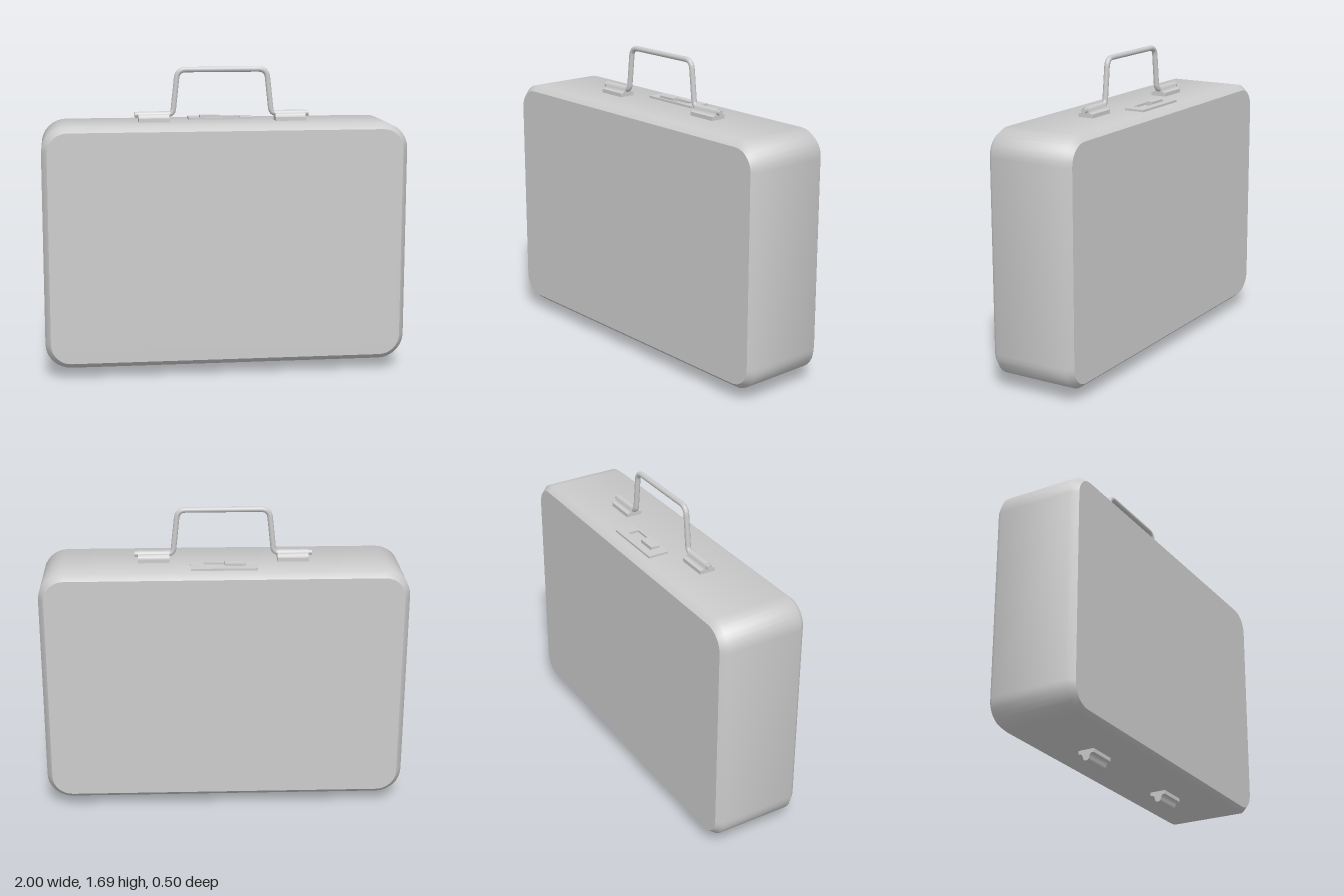
import * as THREE from 'three';
import { toCreasedNormals } from 'three/addons/utils/BufferGeometryUtils.js';

const grey = new THREE.MeshStandardMaterial({ color: 0xcccccc });

function addPart(parent, name, geometry, x = 0, y = 0, z = 0) {
  const mesh = new THREE.Mesh(geometry, grey);
  mesh.name = name;
  mesh.position.set(x, y, z);
  parent.add(mesh);
  return mesh;
}

function rectPath(path, x0, y0, x1, y1) {
  path.moveTo(x0, y0).lineTo(x1, y0).lineTo(x1, y1).lineTo(x0, y1).closePath();
  return path;
}

// Rounded case shell with a narrow bevel around the front and back panels
function caseGeometry() {
  const w = 1, b = 0.06, t = 1.39, r = 0.14, bevel = 0.035;
  const s = new THREE.Shape();
  s.moveTo(-w + r, b);
  s.lineTo(w - r, b);
  s.absarc(w - r, b + r, r, -Math.PI / 2, 0);
  s.lineTo(w, t - r);
  s.absarc(w - r, t - r, r, 0, Math.PI / 2);
  s.lineTo(-w + r, t);
  s.absarc(-w + r, t - r, r, Math.PI / 2, Math.PI);
  s.lineTo(-w, b + r);
  s.absarc(-w + r, b + r, r, Math.PI, Math.PI * 1.5);
  const depth = 0.5 - 2 * bevel;
  const g = new THREE.ExtrudeGeometry(s, {
    depth, curveSegments: 4, bevelEnabled: true, bevelSegments: 1,
    bevelThickness: bevel, bevelSize: 0.03, bevelOffset: -0.03,
  });
  g.translate(0, 0, -depth / 2);
  return toCreasedNormals(g, 0.78);
}

// Flanged base that sweeps up to a rounded ridge, running along x
function mountGeometry(height) {
  const s = new THREE.Shape();
  s.moveTo(-0.045, -0.005);
  s.lineTo(0.045, -0.005);
  s.lineTo(0.045, 0.021);
  s.lineTo(0.035, 0.021);
  s.quadraticCurveTo(0.022, 0.024, 0.019, height - 0.017);
  s.absarc(0, height - 0.019, 0.019, 0.1, Math.PI - 0.1);
  s.quadraticCurveTo(-0.022, 0.024, -0.035, 0.021);
  s.lineTo(-0.045, 0.021);
  s.closePath();
  const g = new THREE.ExtrudeGeometry(s, { depth: 0.17, curveSegments: 6, bevelEnabled: false });
  g.translate(0, 0, -0.085);
  g.rotateY(Math.PI / 2);
  return toCreasedNormals(g, 0.7);
}

// Bent rod: straight pivots at both ends, rounded bends between
function handleGroup() {
  const handle = new THREE.Group();
  handle.name = 'handle';
  const corners = [
    [-0.485, 1.429], [-0.275, 1.429], [-0.248, 1.675],
    [0.248, 1.675], [0.275, 1.429], [0.485, 1.429],
  ].map(([x, y]) => new THREE.Vector3(x, y, 0));
  const radius = 0.015;
  const bends = [0, 0.03, 0.045, 0.045, 0.03, 0];
  const points = [corners[0]];
  for (let i = 1; i < corners.length - 1; i++) {
    const c = corners[i];
    const toward = (p) => p.clone().sub(c).setLength(bends[i]).add(c);
    const curve = new THREE.QuadraticBezierCurve3(toward(corners[i - 1]), c, toward(corners[i + 1]));
    points.push(...curve.getPoints(5));
  }
  points.push(corners[corners.length - 1]);
  const path = new THREE.CurvePath();
  for (let i = 1; i < points.length; i++) path.add(new THREE.LineCurve3(points[i - 1], points[i]));
  addPart(handle, 'handleRod', new THREE.TubeGeometry(path, 200, radius, 12, false));
  // End caps of the pivots
  for (const side of [-1, 1]) {
    const cap = addPart(handle, 'handleEnd', new THREE.CircleGeometry(radius, 12), side * 0.485, 1.429, 0);
    cap.rotation.y = side * Math.PI / 2;
  }
  return handle;
}

// Thin lock plate with a slot and a sliding catch
function lockGroup() {
  const lock = new THREE.Group();
  lock.name = 'lock';
  const plate = rectPath(new THREE.Shape(), -0.18, 0.068, 0.18, 0.183);
  plate.holes.push(rectPath(new THREE.Path(), -0.118, 0.08, 0.112, 0.14));
  const g = new THREE.ExtrudeGeometry(plate, { depth: 0.014, bevelEnabled: false });
  g.rotateX(-Math.PI / 2);
  addPart(lock, 'lockPlate', g, 0, 1.388, 0);
  addPart(lock, 'lockSlider', new THREE.BoxGeometry(0.112, 0.025, 0.042), -0.06, 1.4, -0.11);
  return lock;
}

export function createModel() {
  const model = new THREE.Group();
  model.name = 'briefcase';
  addPart(model, 'caseBody', caseGeometry());
  for (const side of [-1, 1]) {
    addPart(model, 'handleMount', mountGeometry(0.057), side * 0.38, 1.39, 0);
    const foot = addPart(model, 'foot', mountGeometry(0.06), side * 0.38, 0.06, 0);
    foot.rotation.x = Math.PI;
  }
  model.add(handleGroup(), lockGroup());
  return model;
}
